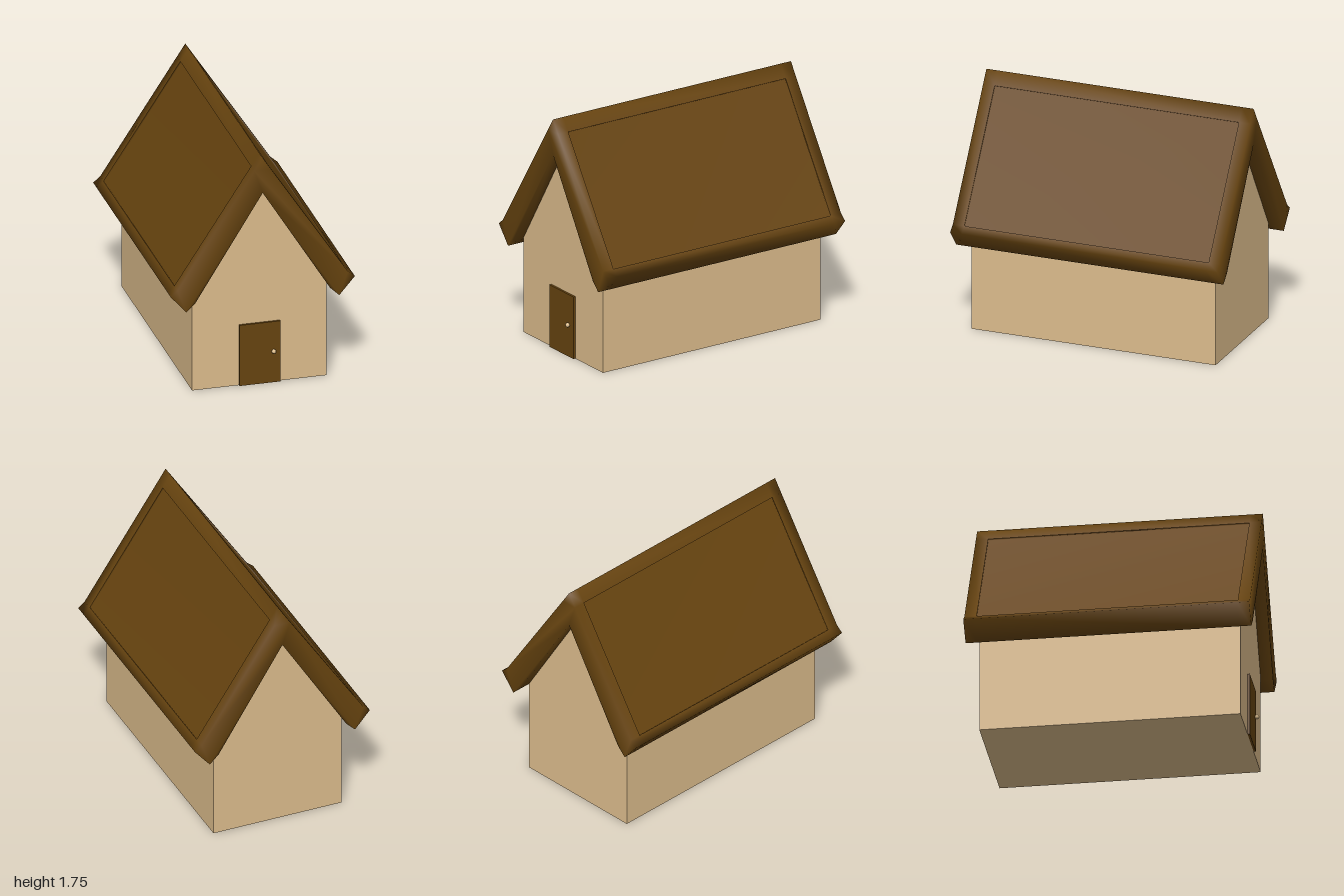
import * as THREE from 'three';

export function createModel() {
  const house = new THREE.Group();
  house.name = 'house';
  const wood = new THREE.MeshStandardMaterial({ name: 'darkWood', color: 0x66430f });
  const plaster = new THREE.MeshStandardMaterial({ name: 'tanPlaster', color: 0xdcbc8c });
  const add = (name, geometry, material, x = 0, y = 0, z = 0) => {
    const mesh = new THREE.Mesh(geometry, material);
    mesh.name = name;
    mesh.position.set(x, y, z);
    house.add(mesh);
    return mesh;
  };
  const end = 0.914; // z of the gable walls

  // Walls and floor: gabled shell, open where the roof covers it
  const gable = [[-0.484, 0], [0.484, 0], [0.484, 0.701], [0, 1.48], [-0.484, 0.701]];
  const walls = loft(gable, [-end, end], (i) => i === 2 || i === 3).toNonIndexed();
  walls.computeVertexNormals();
  add('walls', walls, plaster);

  // Roof: mirrored cross-section with flared eaves and softly shaded edges,
  // open over the rooms and where the slope panels sit
  const top = [0.06, 1.653], bottom = [0.612, 0.81];
  const right = [[0.484, 0.701], [0.55, 0.637], [0.662, 0.768], bottom, top];
  const left = right.map(([x, y]) => [-x, y]).reverse();
  const section = [...right, [0, 1.745], ...left, [0, 1.48]];
  const open = [3, 6, 10, 11];
  add('roof', loft(section, [-1, -end, end, 1], (i, j) => j === 1 && open.includes(i)), wood);

  // Roof panels: shallow recess in each slope
  const panel = recess(top, bottom, end, 0.012);
  add('leftRoofPanel', panel, wood);
  add('rightRoofPanel', panel, wood).rotation.y = Math.PI;

  // Front door and knob
  add('door', new THREE.BoxGeometry(0.292, 0.46, 0.016), wood, 0, 0.23, 0.922);
  add('doorKnob', new THREE.SphereGeometry(0.016, 16, 12), plaster, 0.096, 0.24, 0.945);

  return house;
}

// Solid from a counter-clockwise section repeated at several z positions;
// skip(i, j) leaves out the side face of edge i in span j
function loft(section, stations, skip) {
  const n = section.length, last = (stations.length - 1) * n;
  const positions = stations.flatMap((z) => section.flatMap(([x, y]) => [x, y, z]));
  const index = [];
  for (let j = 0; j < stations.length - 1; j++) {
    for (let i = 0; i < n; i++) {
      if (skip(i, j)) continue;
      const a = j * n + i, b = j * n + (i + 1) % n;
      index.push(a, b, b + n, a, b + n, a + n);
    }
  }
  const outline = section.map(([x, y]) => new THREE.Vector2(x, y));
  for (const [a, b, c] of THREE.ShapeUtils.triangulateShape(outline, [])) {
    index.push(a, c, b, last + a, last + b, last + c);
  }
  return build(positions, index);
}

// Sunken rectangle on a slope from top to bottom, reaching from -z to z
function recess([tx, ty], [bx, by], z, depth) {
  const length = Math.hypot(bx - tx, ty - by);
  const nx = depth * (ty - by) / length, ny = depth * (bx - tx) / length;
  const rim = [[bx, by, z], [bx, by, -z], [tx, ty, -z], [tx, ty, z]];
  const sunk = rim.map(([x, y, w]) => [x - nx, y - ny, w]);
  const index = [4, 5, 6, 4, 6, 7];
  for (let i = 0; i < 4; i++) {
    const k = (i + 1) % 4;
    index.push(i, k, k + 4, i, k + 4, i + 4);
  }
  return build([...rim, ...sunk].flat(), index);
}

function build(positions, index) {
  const geometry = new THREE.BufferGeometry();
  geometry.setAttribute('position', new THREE.Float32BufferAttribute(positions, 3));
  geometry.setIndex(index);
  geometry.computeVertexNormals();
  return geometry;
}
